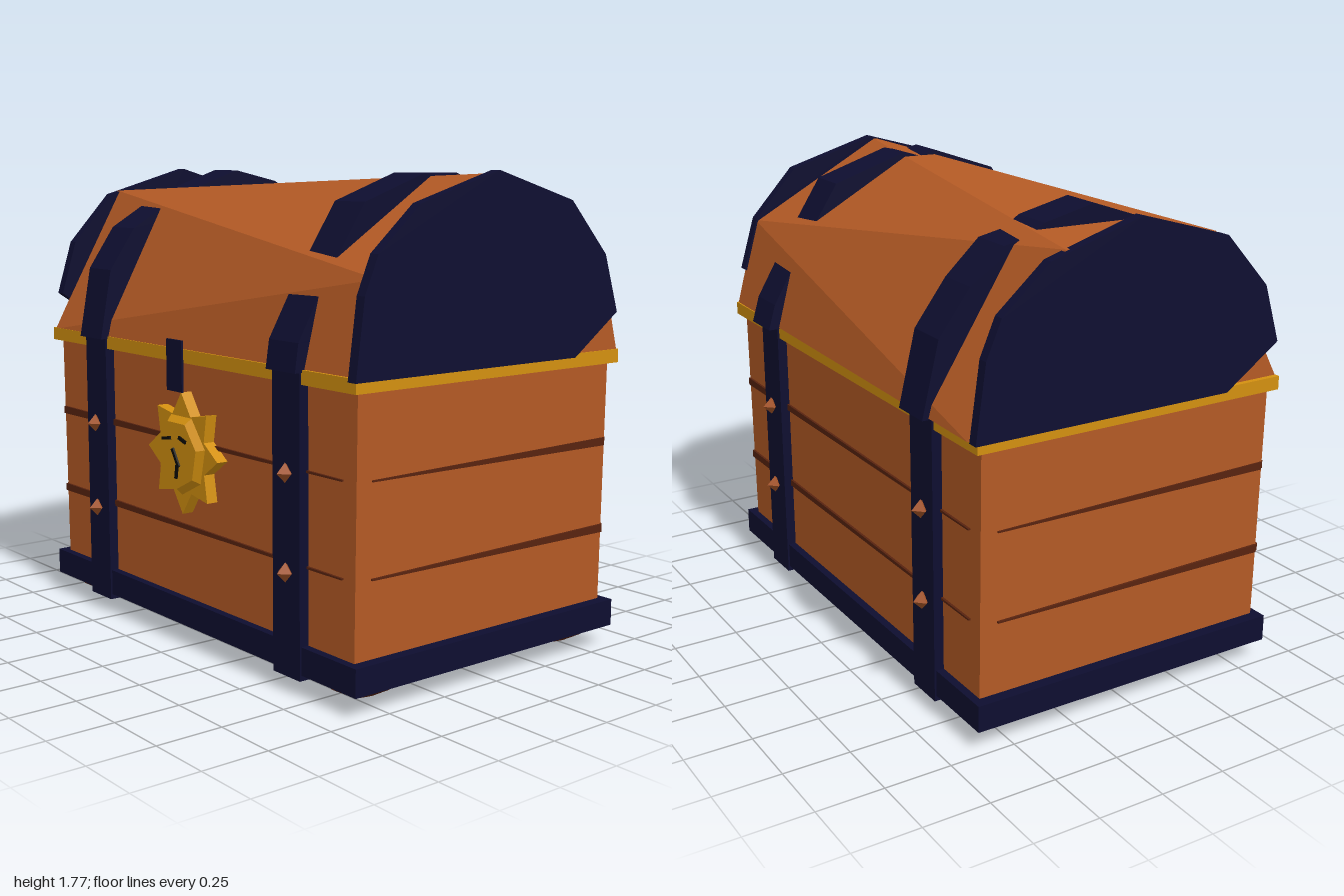
import * as THREE from 'three';

const mat = (name, color) => new THREE.MeshStandardMaterial({ name, color, flatShading: true });

export function createModel() {
  const chest = new THREE.Group();
  chest.name = 'treasureChest';
  const wood = mat('wood', 0xb45a25), navy = mat('navyIron', 0x0e0e30), gold = mat('gold', 0xd39010);
  const dark = mat('darkWood', 0x58230f), copper = mat('copper', 0xa35226), black = mat('black', 0x0a0806);

  const add = (name, geo, material, x = 0, y = 0, z = 0, parent = chest) => {
    const m = new THREE.Mesh(geo, material);
    m.name = name;
    m.position.set(x, y, z);
    parent.add(m);
    return m;
  };
  // box given by its size and the height of its underside
  const box = (name, material, w, h, d, x, y0, z) =>
    add(name, new THREE.BoxGeometry(w, h, d), material, x, y0 + h / 2, z);
  // slab across x from a [z, y] outline
  const slab = (outline, x0, x1) => {
    const shape = new THREE.Shape(outline.map(([z, y]) => new THREE.Vector2(-z, y)));
    const g = new THREE.ExtrudeGeometry(shape, { depth: x1 - x0, bevelEnabled: false });
    return g.rotateY(Math.PI / 2).translate(x0, 0, 0);
  };

  // box body, slightly narrower at the bottom
  const bodyGeo = new THREE.BoxGeometry(1.9, 1, 1.2);
  const bp = bodyGeo.attributes.position;
  for (let i = 0; i < bp.count; i++) if (bp.getY(i) < 0) bp.setX(i, bp.getX(i) * 0.985);
  add('body', bodyGeo, wood, 0, 0.6, 0);
  box('base', navy, 1.96, 0.1, 1.26, 0, 0.08, 0);
  box('rim', gold, 1.95, 0.05, 1.26, 0, 1.08, 0);

  // wedge-shaped gaps between the planks, turned for each side
  const gap = (len) => new THREE.ExtrudeGeometry(new THREE.Shape([
    new THREE.Vector2(-len / 2, -0.015), new THREE.Vector2(len / 2 - 0.06, -0.003),
    new THREE.Vector2(len / 2 - 0.06, 0.003), new THREE.Vector2(-len / 2, 0.015)]),
  { depth: 0.009, bevelEnabled: false });
  for (const y of [0.455, 0.785]) {
    for (const s of [0, 1]) {
      add('plankGapLong', gap(1.88), dark, 0, y, s ? -0.6 : 0.6).rotation.y = s * Math.PI;
      const side = add('plankGapSide', gap(1.19), dark, s ? -0.942 : 0.942, y, 0);
      side.rotation.set(0, s ? -Math.PI / 2 : Math.PI / 2, 0);
      side.scale.x = -1;
    }
  }

  // lid: faceted loft between two unequal [z, y] end sections
  const L = [[0.63, 1.125], [0.32, 1.69], [-0.29, 1.7], [-0.655, 1.125]]
    .map(([z, y]) => [-0.955, y, z]);
  const R = [[0.62, 1.125], [0.54, 1.44], [0.02, 1.77], [-0.53, 1.47], [-0.625, 1.125]]
    .map(([z, y]) => [0.97, y, z]);
  const tris = [];
  for (let i = 0; i < 4; i++) {
    tris.push(L[i], R[i], R[i + 1]);
    if (i < 3) tris.push(L[i], R[i + 1], L[i + 1]);
  }
  for (let i = 1; i < 4; i++) tris.push(R[0], R[i + 1], R[i]);
  for (let i = 1; i < 3; i++) tris.push(L[0], L[i], L[i + 1]);
  const lidGeo = new THREE.BufferGeometry();
  lidGeo.setAttribute('position', new THREE.Float32BufferAttribute(tris.flat(), 3));
  lidGeo.computeVertexNormals();
  add('lid', lidGeo, wood);

  // iron lid ends, leaning inward, with one clipped corner each
  const capOutline = [[0.65, 1.12], [0.605, 1.39], [0.545, 1.52], [0.36, 1.675], [0, 1.78],
    [-0.36, 1.675], [-0.535, 1.48], [-0.595, 1.27], [-0.37, 1.12]];
  for (const turn of [0, Math.PI]) {
    const g = slab(capOutline, 0.945, 0.985);
    const p = g.attributes.position;
    for (let i = 0; i < p.count; i++) p.setX(i, p.getX(i) + (1.45 - p.getY(i)) * 0.04);
    g.computeVertexNormals();
    add('lidEnd', g, navy).rotation.y = turn;
  }

  // iron straps: around the box, then over the lid, dipping into it here and there
  const rightArc = [[0.66, 1.12], [0.645, 1.22], [0.53, 1.42], [0.36, 1.675], [0.09, 1.77],
    [0.02, 1.752], [-0.06, 1.77], [-0.36, 1.675], [-0.52, 1.43], [-0.645, 1.22], [-0.675, 1.12]];
  const leftArc = [[0.66, 1.12], [0.61, 1.39], [0.5, 1.55], [0.29, 1.675], [0, 1.775],
    [-0.2, 1.73], [-0.26, 1.69], [-0.36, 1.67], [-0.49, 1.55], [-0.61, 1.39], [-0.675, 1.12]];
  add('lidStrap', slab(rightArc, 0.54, 0.7), navy);
  add('lidStrap', slab(leftArc, -0.7, -0.54), navy);
  for (const s of [-1, 1]) {
    box('boxStrap', navy, 0.15, 1.07, 1.275, s * 0.62, 0.06, 0);
    for (const f of [-1, 1]) {
      for (const y of [0.43, 0.775])
        add('stud', new THREE.OctahedronGeometry(0.035), copper, s * 0.625, y, f * 0.645);
      // squat rounded foot
      const foot = [[0, 0.005], [0.05, 0.02], [0.125, 0.06], [0.11, 0.1]].map(([r, y]) => new THREE.Vector2(r, y));
      add('foot', new THREE.LatheGeometry(foot, 7), dark, s * 0.82, 0, f * 0.475);
    }
  }

  // clasp hanging from the lid
  box('clasp', navy, 0.1, 0.19, 0.008, 0, 0.98, 0.67);

  // sun-shaped lock with a small face
  const sun = new THREE.Group();
  sun.name = 'sunLock';
  sun.position.set(0, 0.745, 0);
  chest.add(sun);
  const star = new THREE.Shape();
  for (let i = 0; i < 16; i++) {
    const a = Math.PI / 2 + i * Math.PI / 8, r = i % 2 ? 0.155 : 0.228;
    star[i ? 'lineTo' : 'moveTo'](r * Math.cos(a), r * Math.sin(a));
  }
  add('sunRays', new THREE.ExtrudeGeometry(star, { depth: 0.045, bevelEnabled: false }), gold, 0, 0, 0.6, sun);
  add('sunDisc', new THREE.CylinderGeometry(0.13, 0.155, 0.025, 7).rotateX(Math.PI / 2), gold, 0, 0, 0.657, sun);
  // [x, y, length, thickness, tilt]
  for (const [x, y, w, h, a] of [[-0.06, 0.053, 0.055, 0.012, 0.15], [0.045, 0.06, 0.045, 0.012, -0.3],
    [0, -0.012, 0.075, 0.014, -1.0], [0.005, -0.065, 0.05, 0.012, 1.4]])
    add('sunFace', new THREE.BoxGeometry(w, h, 0.008), black, x, y, 0.673, sun).rotation.z = a;

  return chest;
}
